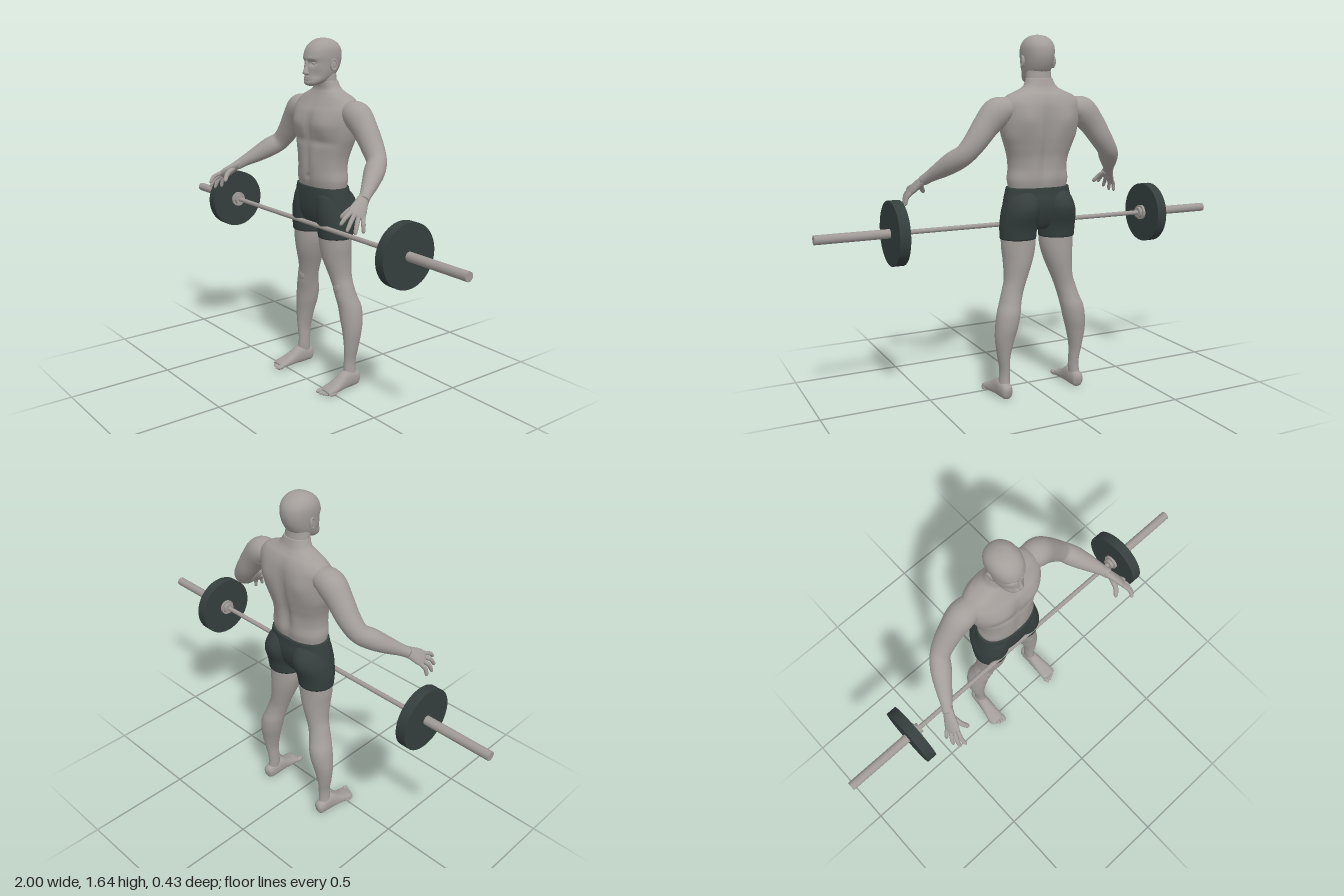
import * as THREE from 'three';

const skin = new THREE.MeshStandardMaterial({ color: 0xa39e9a });
skin.name = 'warm grey skin';
const dark = new THREE.MeshStandardMaterial({ color: 0x353f3e });
dark.name = 'dark slate';
const steel = new THREE.MeshStandardMaterial({ color: 0xa09a97 });
steel.name = 'grey steel';

// Smooth closed tube through sections [x, y, z, radiusU, radiusV].
// Without ref the rings are horizontal; otherwise they follow the path, with U along ref.
function loft(sections, { ref = null, seg = 24, sub = 5, power = 2 } = {}) {
  const rows = [];
  const n = sections.length;
  const at = (i) => sections[Math.min(n - 1, Math.max(0, i))];
  for (let i = 0; i < n - 1; i++) {
    for (let k = 0; k < sub + (i === n - 2 ? 1 : 0); k++) {
      const t = k / sub;
      rows.push(at(i).map((b, c) => {
        const a = at(i - 1)[c], d = at(i + 1)[c], e = at(i + 2)[c];
        const v = 0.5 * (2 * b + (d - a) * t + (2 * a - 5 * b + 4 * d - e) * t * t
          + (3 * b - a - 3 * d + e) * t * t * t);
        return c > 2 ? Math.max(v, 0.001) : v;
      }));
    }
  }
  const pos = [], index = [];
  const point = (r) => new THREE.Vector3(r[0], r[1], r[2]);
  rows.forEach((r, i) => {
    const t = new THREE.Vector3(0, 1, 0), u = new THREE.Vector3(1, 0, 0);
    if (ref) {
      t.copy(point(rows[Math.min(i + 1, rows.length - 1)])).sub(point(rows[Math.max(i - 1, 0)])).normalize();
      u.set(...ref).addScaledVector(t, -t.dot(new THREE.Vector3(...ref))).normalize();
    }
    const v = u.clone().cross(t);
    for (let j = 0; j < seg; j++) {
      const a = (j / seg) * Math.PI * 2, c = Math.cos(a), s = Math.sin(a);
      const p = point(r)
        .addScaledVector(u, Math.sign(c) * Math.abs(c) ** (2 / power) * r[3])
        .addScaledVector(v, Math.sign(s) * Math.abs(s) ** (2 / power) * r[4]);
      pos.push(p.x, p.y, p.z);
      if (i < rows.length - 1) {
        const A = i * seg + j, B = A + seg, C = i * seg + (j + 1) % seg, D = C + seg;
        index.push(A, B, C, B, D, C);
      }
    }
  });
  // end caps
  const first = rows.length * seg, last = first - seg;
  pos.push(...rows[0].slice(0, 3), ...rows[rows.length - 1].slice(0, 3));
  for (let j = 0; j < seg; j++) {
    const k = (j + 1) % seg;
    index.push(first, j, k, first + 1, last + k, last + j);
  }
  const g = new THREE.BufferGeometry();
  g.setAttribute('position', new THREE.Float32BufferAttribute(pos, 3));
  g.setIndex(index);
  g.computeVertexNormals();
  return g;
}

// Upright section given as y, half width, front z, back z
const slab = ([y, w, f, b]) => [0, y, (f + b) / 2, w, (f - b) / 2];

// Soft bumps [x, y, widthX, widthY, dz, side], mirrored in x; side 1 = front, -1 = back
function sculpt(g, zMid, bumps) {
  const p = g.attributes.position;
  for (let i = 0; i < p.count; i++) {
    const x = Math.abs(p.getX(i)), y = p.getY(i), z = p.getZ(i);
    let d = 0;
    for (const [bx, by, wx, wy, dz, side] of bumps) {
      const facing = THREE.MathUtils.clamp((z - zMid) * side / 0.05, 0, 1);
      d += dz * side * facing * Math.exp(-(((x - bx) / wx) ** 2) - ((y - by) / wy) ** 2);
    }
    p.setZ(i, z + d);
  }
  g.computeVertexNormals();
  return g;
}

function ellipsoid(x, y, z, rx, ry, rz) {
  return new THREE.SphereGeometry(1, 20, 14).scale(rx, ry, rz).translate(x, y, z);
}

function mirror(g) {
  const m = g.clone().scale(-1, 1, 1);
  const a = m.index.array;
  for (let i = 0; i < a.length; i += 3) [a[i], a[i + 1]] = [a[i + 1], a[i]];
  m.computeVertexNormals();
  return m;
}

export function createModel() {
  const model = new THREE.Group();
  const add = (name, g, mat = skin) => {
    const m = new THREE.Mesh(g, mat);
    m.name = name;
    model.add(m);
  };
  const pair = (name, g, mat) => {
    add(name + 'Left', g, mat);
    add(name + 'Right', mirror(g), mat);
  };

  // torso with chest, stomach, shoulder blades and spine groove
  add('torso', sculpt(loft([
    [0.95, 0.135, -0.018, -0.17], [1.0, 0.145, -0.007, -0.18], [1.05, 0.14, -0.006, -0.178],
    [1.1, 0.145, -0.006, -0.184], [1.15, 0.16, -0.006, -0.197], [1.2, 0.178, -0.006, -0.207],
    [1.26, 0.19, -0.004, -0.211], [1.31, 0.193, -0.013, -0.21], [1.345, 0.188, -0.033, -0.205],
    [1.375, 0.16, -0.05, -0.193], [1.395, 0.115, -0.06, -0.178], [1.415, 0.078, -0.066, -0.166],
    [1.45, 0.06, -0.062, -0.155],
  ].map(slab), { seg: 72, sub: 6, power: 2.3 }), -0.1, [
    [0.09, 1.255, 0.06, 0.045, 0.012, 1], [0, 1.26, 0.012, 0.07, -0.008, 1],
    [0.08, 1.18, 0.07, 0.018, -0.006, 1], [0, 1.09, 0.01, 0.08, -0.004, 1],
    [0.04, 1.08, 0.03, 0.08, 0.005, 1], [0, 1.015, 0.01, 0.01, -0.008, 1],
    [0, 1.17, 0.022, 0.15, -0.018, -1], [0.1, 1.27, 0.05, 0.06, 0.012, -1],
    [0.05, 1.05, 0.03, 0.06, 0.006, -1],
  ]));

  // neck and head
  add('neck', loft([[1.37, 0.07, -0.07, -0.17], [1.42, 0.062, -0.066, -0.157],
    [1.46, 0.059, -0.055, -0.152], [1.5, 0.055, -0.05, -0.15]].map(slab)));
  add('head', sculpt(loft([
    [1.428, 0.012, -0.012, -0.04], [1.434, 0.032, 0.001, -0.065], [1.45, 0.048, 0.005, -0.105],
    [1.475, 0.059, 0.001, -0.146], [1.5, 0.065, 0.001, -0.165], [1.53, 0.069, 0.0, -0.177],
    [1.56, 0.072, 0.002, -0.181], [1.59, 0.07, -0.008, -0.176], [1.615, 0.058, -0.029, -0.157],
    [1.632, 0.036, -0.058, -0.128], [1.638, 0.008, -0.085, -0.1],
  ].map(slab), { seg: 64, sub: 6, power: 2.15 }), -0.085, [
    [0.027, 1.53, 0.016, 0.011, -0.012, 1], [0.024, 1.549, 0.025, 0.008, 0.004, 1],
    [0.045, 1.48, 0.018, 0.022, -0.006, 1], [0, 1.453, 0.03, 0.005, -0.004, 1],
  ]));
  add('nose', loft([[0, 1.476, -0.003, 0.008, 0.008], [0, 1.483, 0.001, 0.016, 0.017],
    [0, 1.493, 0.001, 0.012, 0.018], [0, 1.515, -0.004, 0.008, 0.014],
    [0, 1.545, -0.006, 0.007, 0.009]], { seg: 16 }));
  add('upperLip', ellipsoid(0, 1.466, -0.002, 0.022, 0.0045, 0.009));
  add('lowerLip', ellipsoid(0, 1.457, -0.002, 0.018, 0.005, 0.009));
  pair('eye', ellipsoid(0.027, 1.529, -0.02, 0.012, 0.008, 0.009));
  pair('ear', ellipsoid(0, 0, 0, 0.008, 0.026, 0.016).rotateX(-0.2).rotateY(-0.3).translate(0.072, 1.522, -0.095));
  pair('earRim', new THREE.TorusGeometry(0.014, 0.004, 8, 20).scale(1, 1.6, 1)
    .rotateY(Math.PI / 2 - 0.3).translate(0.077, 1.522, -0.095));

  // arms, reaching out and forward
  pair('arm', loft([
    [0.13, 1.31, -0.122, 0.045, 0.045], [0.17, 1.315, -0.122, 0.058, 0.054],
    [0.215, 1.3, -0.122, 0.063, 0.066], [0.265, 1.247, -0.123, 0.056, 0.059],
    [0.315, 1.18, -0.122, 0.051, 0.051], [0.36, 1.125, -0.108, 0.044, 0.046],
    [0.395, 1.092, -0.065, 0.046, 0.047], [0.43, 1.057, -0.015, 0.038, 0.039],
    [0.465, 1.022, 0.04, 0.027, 0.027], [0.485, 1.0, 0.072, 0.023, 0.024],
  ], { ref: [0, 0, 1], seg: 28 }));

  // hands: flat palm and spread, slightly bent fingers
  const spread = new THREE.Vector3(0.35, -0.4, -0.85).normalize();
  pair('palm', loft([[0.474, 1.012, 0.056, 0.024, 0.02], [0.49, 0.993, 0.085, 0.029, 0.018],
    [0.508, 0.968, 0.118, 0.038, 0.016], [0.519, 0.952, 0.138, 0.034, 0.012],
    [0.522, 0.947, 0.143, 0.01, 0.005]], { ref: spread.toArray() }));
  const tips = [[0.513, 0.925, 0.217], [0.537, 0.9, 0.202], [0.551, 0.885, 0.17], [0.555, 0.885, 0.128]];
  const finger = (base, tip, r) => {
    const mid = base.clone().lerp(tip, 0.5).add(new THREE.Vector3(0.006, 0.006, 0.004));
    const end = base.clone().lerp(tip, 0.9);
    return loft([[...base, r, r], [...mid, r, r], [...end, r * 0.8, r * 0.8], [...tip, 0.002, 0.002]],
      { ref: spread.toArray(), seg: 12 });
  };
  tips.forEach((tip, i) => {
    const base = new THREE.Vector3(0.514, 0.958, 0.13).addScaledVector(spread, (i - 1.5) * 0.018);
    pair('finger' + (i + 1), finger(base, new THREE.Vector3(...tip), 0.0095));
  });
  pair('thumb', finger(new THREE.Vector3(0.483, 0.988, 0.095), new THREE.Vector3(0.453, 0.935, 0.168), 0.012));

  // legs
  pair('leg', loft([
    [0.187, 0.03, -0.125, 0.026, 0.034], [0.182, 0.09, -0.12, 0.024, 0.032],
    [0.182, 0.14, -0.122, 0.023, 0.032], [0.187, 0.2, -0.125, 0.029, 0.038],
    [0.184, 0.28, -0.13, 0.044, 0.047], [0.175, 0.34, -0.133, 0.052, 0.055],
    [0.164, 0.4, -0.131, 0.054, 0.057], [0.15, 0.45, -0.12, 0.05, 0.054],
    [0.135, 0.5, -0.113, 0.05, 0.051], [0.119, 0.55, -0.108, 0.052, 0.056],
    [0.103, 0.63, -0.099, 0.067, 0.07], [0.097, 0.7, -0.094, 0.079, 0.075],
    [0.096, 0.78, -0.092, 0.08, 0.076],
  ], { seg: 32 }));
  pair('kneecap', ellipsoid(0.138, 0.495, -0.074, 0.026, 0.035, 0.014));

  // feet with toes
  pair('foot', loft([
    [0.183, 0.034, -0.173, 0.008, 0.012], [0.184, 0.036, -0.163, 0.024, 0.032],
    [0.185, 0.042, -0.13, 0.029, 0.04], [0.186, 0.044, -0.09, 0.031, 0.043],
    [0.189, 0.033, -0.05, 0.034, 0.031], [0.192, 0.023, -0.01, 0.038, 0.021],
    [0.193, 0.018, 0.02, 0.039, 0.016], [0.193, 0.015, 0.038, 0.032, 0.01],
  ], { ref: [1, 0, 0], power: 2.4 }));
  for (let i = 0; i < 5; i++) {
    const r = i === 0 ? 0.012 : 0.0085;
    pair('toe' + (i + 1), ellipsoid(0.163 + i * 0.0158, r + 0.002, 0.041 - i * i * 0.0018, r, r, 0.024));
  }

  // fitted shorts: hips and two legs
  add('shortsHips', loft([
    [0.775, 0.05, -0.045, -0.14], [0.8, 0.12, -0.018, -0.16], [0.85, 0.168, -0.004, -0.182],
    [0.9, 0.165, -0.001, -0.19], [0.94, 0.156, -0.002, -0.186], [0.968, 0.149, -0.004, -0.184],
  ].map(slab), { seg: 48, power: 2.3 }), dark);
  pair('shortsLeg', loft([
    [0.098, 0.735, -0.094, 0.083, 0.081], [0.097, 0.79, -0.096, 0.086, 0.089],
    [0.091, 0.85, -0.105, 0.086, 0.103], [0.085, 0.89, -0.107, 0.081, 0.104],
    [0.078, 0.93, -0.1, 0.073, 0.092], [0.07, 0.962, -0.094, 0.05, 0.07],
  ], { seg: 32 }), dark);

  // barbell: bar, collars, plates and sleeves
  const rod = (x0, x1, r, seg) => new THREE.CylinderGeometry(r, r, x1 - x0, seg)
    .rotateZ(-Math.PI / 2).translate((x0 + x1) / 2, 0.79, -0.016);
  add('bar', rod(-0.63, 0.63, 0.011, 16), steel);
  pair('innerCollar', rod(0.6, 0.618, 0.026, 20), steel);
  pair('collarFlange', rod(0.614, 0.63, 0.036, 24), steel);
  pair('sleeve', rod(0.63, 1, 0.021, 16), steel);
  pair('weightPlate', rod(0.626, 0.674, 0.143, 56), dark);
  return model;
}
